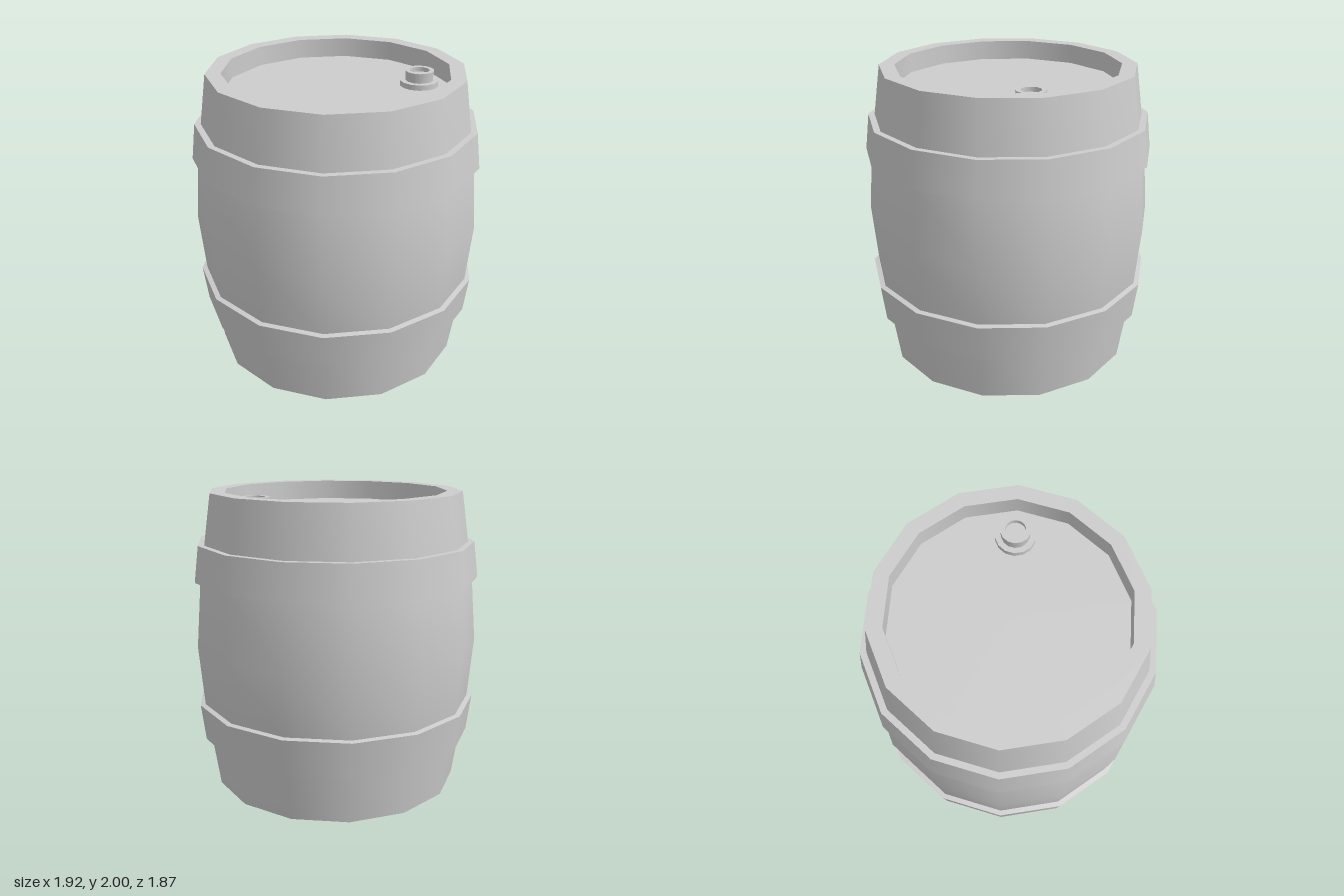
import * as THREE from 'three';
import { mergeGeometries } from 'three/addons/utils/BufferGeometryUtils.js';

const SIDES = 14;

// Revolves several [radius, height] runs; runs are smooth inside, sharp where they meet.
function turned(name, runs, material) {
  const parts = runs.map((run) => new THREE.LatheGeometry(
    run.map(([r, y]) => new THREE.Vector2(r, y)), SIDES, Math.PI / 2));
  const mesh = new THREE.Mesh(mergeGeometries(parts), material);
  mesh.name = name;
  return mesh;
}

// Splits a profile into one run per straight piece.
const sharp = (points) => points.slice(1).map((p, i) => [points[i], p]);

export function createModel() {
  const group = new THREE.Group();
  group.name = 'barrel';
  const grey = new THREE.MeshStandardMaterial({ color: 0xcccccc });
  grey.name = 'plain grey';

  // Bulging wall with a rim at each end
  group.add(turned('barrelWall', [
    [[0.74, 0.13], [0.74, 0]],
    [[0.74, 0], [0.84, 0]],
    [[0.84, 0], [0.925, 0.58], [0.96, 1], [0.925, 1.42], [0.84, 2]],
    [[0.84, 2], [0.74, 2]],
    [[0.74, 2], [0.74, 1.87]],
  ], grey));

  // Sunken ends
  group.add(turned('bottomLid', [[[0, 0.13], [0.74, 0.13]]], grey));
  group.add(turned('topLid', [[[0.74, 1.87], [0, 1.87]]], grey));

  // Two hoops, wider toward the middle of the barrel
  group.add(turned('lowerHoop', sharp(
    [[0.88, 0.34], [0.93, 0.34], [0.96, 0.588], [0.92, 0.595]]), grey));
  group.add(turned('upperHoop', sharp(
    [[0.92, 1.425], [0.96, 1.432], [0.93, 1.67], [0.88, 1.67]]), grey));

  // Bung: flange, short neck and shallow hole
  const bung = turned('bung', sharp([
    [0.127, 0], [0.127, 0.035], [0.09, 0.035], [0.095, 0.1],
    [0.065, 0.1], [0.065, 0.07], [0, 0.07],
  ]), grey);
  bung.position.set(0.545, 1.87, 0);
  group.add(bung);

  return group;
}
